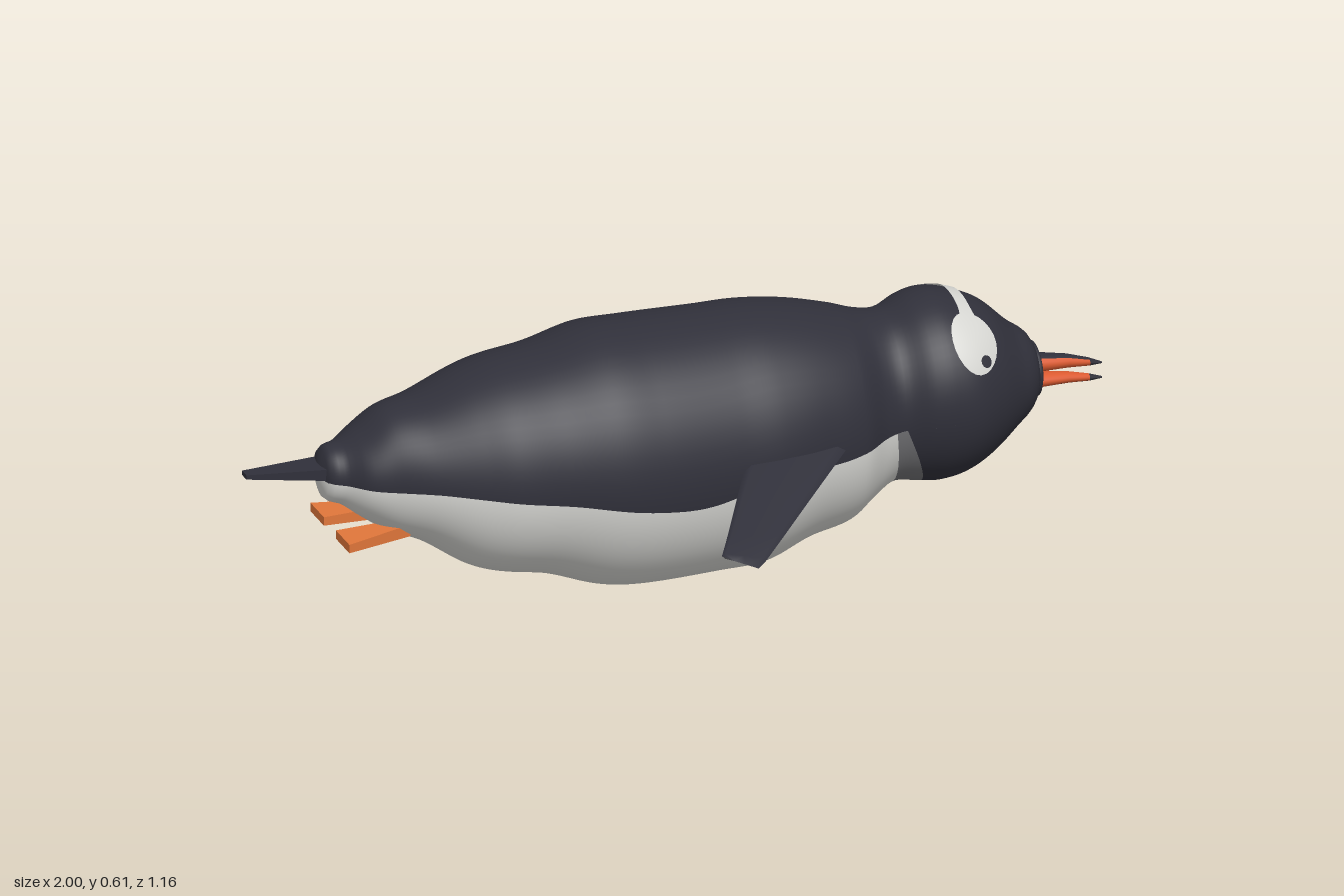
import * as THREE from 'three';

const mat = (name, color, side = THREE.DoubleSide) =>
  Object.assign(new THREE.MeshStandardMaterial({ color, side }), { name });

// Body sections: x, top y, bottom y, half width
const BODY = [
  [-0.832, 0.355, 0.335, 0.01], [-0.82, 0.40, 0.29, 0.05], [-0.78, 0.415, 0.27, 0.075],
  [-0.74, 0.44, 0.24, 0.11], [-0.68, 0.48, 0.20, 0.135], [-0.6, 0.50, 0.165, 0.17],
  [-0.5, 0.54, 0.10, 0.21], [-0.43, 0.56, 0.075, 0.233], [-0.32, 0.577, 0.055, 0.247],
  [-0.2, 0.607, 0.015, 0.272], [-0.1, 0.61, 0.004, 0.276], [0.08, 0.61, 0.01, 0.27],
  [0.18, 0.61, 0.018, 0.268], [0.28, 0.598, 0.06, 0.25], [0.38, 0.575, 0.085, 0.222],
  [0.44, 0.558, 0.125, 0.18], [0.49, 0.555, 0.158, 0.168], [0.55, 0.58, 0.155, 0.192],
  [0.6, 0.588, 0.151, 0.2], [0.66, 0.573, 0.165, 0.195], [0.72, 0.545, 0.197, 0.165],
  [0.78, 0.49, 0.245, 0.12], [0.82, 0.46, 0.28, 0.088], [0.837, 0.43, 0.315, 0.058],
  [0.845, 0.385, 0.36, 0.012],
];
// Height of the line between back and belly: x, y
const LINE = [
  [-0.832, 0.34], [-0.7, 0.33], [-0.58, 0.325], [-0.31, 0.29], [-0.12, 0.26],
  [0, 0.257], [0.17, 0.30], [0.33, 0.31], [0.47, 0.33], [0.845, 0.372],
];

// Smooth interpolation of one table column at x
function curve(t, x, c) {
  let i = 0;
  while (i < t.length - 2 && x > t[i + 1][0]) i++;
  const slope = (k) => {
    const a = t[Math.max(k - 1, 0)], b = t[Math.min(k + 1, t.length - 1)];
    return (b[c] - a[c]) / (b[0] - a[0]);
  };
  const h = t[i + 1][0] - t[i][0];
  const s = THREE.MathUtils.clamp((x - t[i][0]) / h, 0, 1), s2 = s * s, s3 = s2 * s;
  return (2 * s3 - 3 * s2 + 1) * t[i][c] + (s3 - 2 * s2 + s) * h * slope(i)
    + (3 * s2 - 2 * s3) * t[i + 1][c] + (s3 - s2) * h * slope(i + 1);
}

// Point on the body; angle runs from the left side (+z) over the top
function skin(x, angle, lift = 0) {
  const top = curve(BODY, x, 1), bot = curve(BODY, x, 2), w = curve(BODY, x, 3);
  return new THREE.Vector3(x, (top + bot) / 2 + ((top - bot) / 2 + lift) * Math.sin(angle),
    (w + lift) * Math.cos(angle));
}
function lineAngle(x) {
  const top = curve(BODY, x, 1), bot = curve(BODY, x, 2);
  const s = (curve(LINE, x, 1) - (top + bot) / 2) / ((top - bot) / 2);
  return Math.asin(THREE.MathUtils.clamp(s, -0.9, 0.9));
}

// Surface through rows of points
function loft(rows, flip = false) {
  const n = rows[0].length, index = [];
  for (let i = 0; i < rows.length - 1; i++) {
    for (let j = 0; j < n - 1; j++) {
      const a = i * n + j, b = a + n, c = b + 1, d = a + 1;
      index.push(...(flip ? [a, c, b, a, d, c] : [a, b, c, a, c, d]));
    }
  }
  const g = new THREE.BufferGeometry().setFromPoints(rows.flat());
  g.setIndex(index);
  g.computeVertexNormals();
  return g;
}

// Piece of the body skin; map(u, v) gives [x, angle]
function patch(nu, nv, map, lift = 0) {
  const rows = [], normals = [], e = 0.002;
  for (let i = 0; i <= nu; i++) {
    const row = [];
    for (let j = 0; j <= nv; j++) {
      const [x, a] = map(i / nu, j / nv);
      row.push(skin(x, a, lift));
      const dx = skin(Math.min(x + e, 0.845), a).sub(skin(Math.max(x - e, -0.832), a));
      const da = skin(x, a + e).sub(skin(x, a - e));
      normals.push(...dx.cross(da).normalize().toArray());
    }
    rows.push(row);
  }
  const g = loft(rows);
  g.setAttribute('normal', new THREE.Float32BufferAttribute(normals, 3));
  return g;
}

export function createModel() {
  const model = new THREE.Group();
  model.name = 'penguin';
  const dark = mat('dark plumage', 0x30303a);
  const white = mat('white plumage', 0xd6d6d2);
  const grey = mat('grey plumage', 0x707073);
  const red = mat('beak orange', 0xdc5a30);
  const orange = mat('foot orange', 0xe0763a);
  const add = (name, geometry, material) => {
    const m = new THREE.Mesh(geometry, material);
    m.name = name;
    model.add(m);
    return m;
  };
  const { lerp } = THREE.MathUtils;

  // Dark back, running from tail to face
  add('back', patch(150, 32, (u, v) => {
    const x = lerp(-0.832, 0.845, u), b = lineAngle(x);
    return [x, lerp(b, Math.PI - b, v)];
  }), dark);

  // Underside: belly, throat band and chin, divided by curved edges
  const edges = [
    () => -0.832,
    (v) => 0.465 + 0.025 * Math.sin(Math.PI * v),
    (v) => 0.49 + 0.07 * Math.sin(Math.PI * v),
    () => 0.845,
  ];
  [['belly', white, 110], ['throatBand', grey, 8], ['chin', dark, 36]].forEach(([name, m, n], k) => {
    add(name, patch(n, 32, (u, v) => {
      const x = lerp(edges[k](v), edges[k + 1](v), u), b = lineAngle(x);
      return [x, lerp(Math.PI - b, 2 * Math.PI + b, v)];
    }), m);
  });

  // White head band with a spot and an eye on each side
  add('headBand', patch(4, 24, (u, v) => {
    const flare = 0.015 + 0.012 * Math.abs(2 * v - 1) ** 6;
    return [0.655 + flare * (2 * u - 1), lerp(1.0, Math.PI - 1.0, v)];
  }, 0.004), white);
  const disc = (x, a, rx, ra, lift) => patch(6, 24, (u, v) => {
    const t = 2 * Math.PI * v;
    return [x + rx * u * Math.cos(t), a + ra * u * Math.sin(t)];
  }, lift);
  for (const left of [true, false]) {
    const at = (a) => (left ? a : Math.PI - a);
    add('eyeSpot', disc(0.655, at(0.76), 0.054, 0.37, 0.005), white);
    add('eye', disc(0.672, at(0.53), 0.013, 0.07, 0.008), dark);
  }

  // Beak: two tapering halves with dark ridge and tip; x, centre y, radii in y and z
  const upper = [[0.8, 0.385, 0.024, 0.032], [0.84, 0.384, 0.022, 0.03], [0.92, 0.377, 0.015, 0.02],
    [0.97, 0.368, 0.009, 0.011], [1, 0.362, 0.002, 0.003]];
  const lower = [[0.8, 0.344, 0.019, 0.03], [0.84, 0.343, 0.018, 0.028], [0.92, 0.338, 0.012, 0.018],
    [0.97, 0.331, 0.008, 0.01], [1, 0.327, 0.002, 0.003]];
  const cone = (sections, from, to) => loft(sections.map(([x, cy, ry, rz]) =>
    Array.from({ length: 13 }, (_, j) => {
      const a = lerp(from, to, j / 12) * Math.PI;
      return new THREE.Vector3(x, cy + ry * Math.sin(a), rz * Math.cos(a));
    })));
  for (const [name, s, mid] of [['upperBeak', upper, 0.5], ['lowerBeak', lower, 1.5]]) {
    add(name, cone(s.slice(0, 4), mid + 0.24, mid + 1.76), red);
    add(name + 'Ridge', cone(s.slice(0, 4), mid - 0.24, mid + 0.24), dark);
    add(name + 'Tip', cone(s.slice(3), 0, 2), dark);
  }
  const rim = add('beakRim', new THREE.TorusGeometry(0.055, 0.01, 8, 32), dark);
  rim.rotation.y = Math.PI / 2;
  rim.position.set(0.835, 0.37, 0);

  // Wings: sections from root to tip, lead x z, trail x z, half thickness
  const span = [[0.34, 0.19, 0.11, 0.19, 0.02], [0.32, 0.24, 0.07, 0.27, 0.018],
    [0.18, 0.39, 0, 0.4, 0.013], [0.08, 0.498, -0.045, 0.483, 0.01],
    [0.02, 0.562, -0.07, 0.527, 0.007], [-0.004, 0.582, -0.052, 0.545, 0]];
  const bulge = [0, 0.8, 1, 0.8, 0], chord = [0, 0.08, 0.5, 0.92, 1];
  for (const side of [1, -1]) {
    const face = (up, sections) => loft(sections.map(([lx, lz, tx, tz, t]) =>
      chord.map((f, j) => {
        const z = lerp(lz, tz, f);
        return new THREE.Vector3(lerp(lx, tx, f), 0.335 - 0.31 * (z - 0.25) + up * t * bulge[j], side * z);
      })), side * up > 0);
    add('wingTop', face(1, span), dark);
    add('wingUnderside', face(-1, span.slice(0, 4)), white);
    add('wingTipUnderside', face(-1, span.slice(3)), grey);
  }

  // Tapered slab along x: each end is x, centre y, centre z, height, width
  const slab = (a, b) => {
    const g = new THREE.BoxGeometry(1, 1, 1), p = g.attributes.position;
    for (let i = 0; i < p.count; i++) {
      const [x, y, z, h, w] = p.getX(i) < 0 ? a : b;
      p.setXYZ(i, x, y + p.getY(i) * h, z + p.getZ(i) * w);
    }
    g.computeVertexNormals();
    return g;
  };
  add('tail', slab([-1, 0.364, 0, 0.01, 0.03], [-0.76, 0.352, 0, 0.032, 0.1]), dark);
  for (const s of [1, -1]) {
    add('foot', slab([-0.8, 0.211, s * 0.085, 0.02, 0.09], [-0.64, 0.215, s * 0.06, 0.028, 0.04]), orange);
  }
  return model;
}
